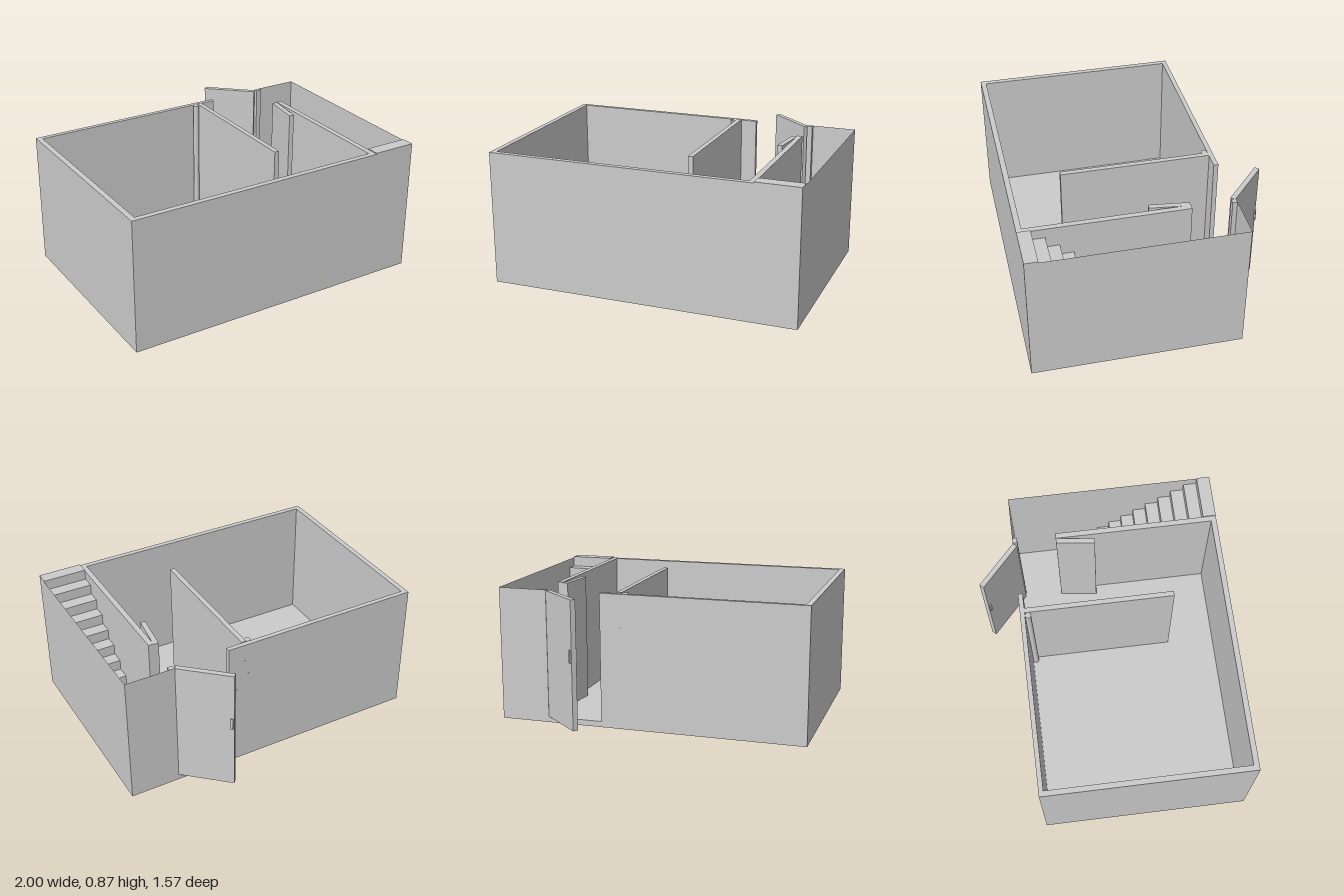
import * as THREE from 'three';

const WALL_TOP = 0.867;
const FLOOR_TOP = 0.037;

export function createModel() {
  const group = new THREE.Group();
  const solid = new THREE.MeshStandardMaterial({ color: 0xcccccc, flatShading: true });
  const smooth = new THREE.MeshStandardMaterial({ color: 0xcccccc });
  const thin = new THREE.MeshStandardMaterial({ color: 0xcccccc, side: THREE.DoubleSide });

  const add = (name, geometry, material = solid, parent = group) => {
    const mesh = new THREE.Mesh(geometry, material);
    mesh.name = name;
    parent.add(mesh);
    return mesh;
  };

  // Box given by its minimum and maximum on each axis
  const box = (name, x0, x1, y0, y1, z0, z1, parent) =>
    add(name, new THREE.BoxGeometry(x1 - x0, y1 - y0, z1 - z0), solid, parent)
      .position.set((x0 + x1) / 2, (y0 + y1) / 2, (z0 + z1) / 2);

  // Floor slab, reaching out through the doorway as its threshold
  box('floor', -1, 1, 0, FLOOR_TOP, -0.55, 0.785);

  // Continuous room wall, open at the entrance and at the stair doorway
  const plan = [
    [0.32, -0.55], [-1, -0.55], [-1, 0.785], [0.715, 0.785], [0.715, -0.27],
    [0.68, -0.27], [0.68, 0.75], [-0.965, 0.75], [-0.965, -0.52], [0.32, -0.52],
  ];
  const wallShape = new THREE.Shape(plan.map(([x, z]) => new THREE.Vector2(x, -z)));
  add('roomWalls', new THREE.ExtrudeGeometry(wallShape, { depth: WALL_TOP, bevelEnabled: false })
    .rotateX(-Math.PI / 2));

  // Post between the two doorways
  box('doorPost', 0.68, 0.715, 0, WALL_TOP, -0.55, -0.52);

  // Partition and the pipe in its corner
  box('partition', 0.185, 0.217, FLOOR_TOP, 0.872, -0.52, 0.437);
  add('pipe', new THREE.CylinderGeometry(0.019, 0.019, WALL_TOP - FLOOR_TOP, 24), smooth)
    .position.set(0.166, (WALL_TOP + FLOOR_TOP) / 2, -0.5);

  // Thin outer panels around the stairwell
  const panel = (name, width, x, z, turn) => {
    const mesh = add(name, new THREE.PlaneGeometry(width, WALL_TOP), thin);
    mesh.position.set(x, WALL_TOP / 2, z);
    mesh.rotation.y = turn;
  };
  panel('stairwellSide', 1.335, 1, 0.1175, Math.PI / 2);
  panel('stairwellBack', 0.285, 0.8575, -0.55, Math.PI);
  panel('stairwellFront', 0.285, 0.8575, 0.785, 0);

  // Staircase rising towards the front
  const stairs = new THREE.Group();
  stairs.name = 'stairs';
  group.add(stairs);
  const steps = 12, tread = (0.785 + 0.22) / steps, rise = (0.874 - FLOOR_TOP) / steps;
  for (let i = 0; i < steps; i++) {
    const z = -0.22 + i * tread;
    box('step', 0.715, 1, FLOOR_TOP, FLOOR_TOP + (i + 1) * rise, z, z + tread, stairs);
  }

  // Door leaf that runs along +x from its hinge, then swings about it
  const door = (name, x, z, length, swing) => {
    const leaf = new THREE.Group();
    leaf.name = name;
    leaf.position.set(x, 0, z);
    leaf.rotation.y = swing;
    group.add(leaf);
    box('doorLeaf', 0, length, FLOOR_TOP, 0.863, -0.0165, 0.0165, leaf);
    return leaf;
  };
  const entrance = door('entranceDoor', 0.669, -0.536, 0.357, Math.atan2(0.24, -0.266));
  box('doorHandle', 0.335, 0.35, 0.47, 0.55, -0.025, 0.025, entrance);
  door('stairDoor', 0.664, -0.268, 0.25, Math.atan2(-0.25, -0.03));
  // Hinge jamb joining the stair door to its wall
  box('stairDoorJamb', 0.647, 0.69, FLOOR_TOP, 0.863, -0.27, -0.25);

  // Small fixings on the back wall
  for (const [x, y] of [[0.21, 0.75], [0.187, 0.65], [0.27, 0.55]])
    box('wallFixing', x - 0.004, x + 0.004, y - 0.004, y + 0.004, -0.553, -0.545);

  return group;
}
